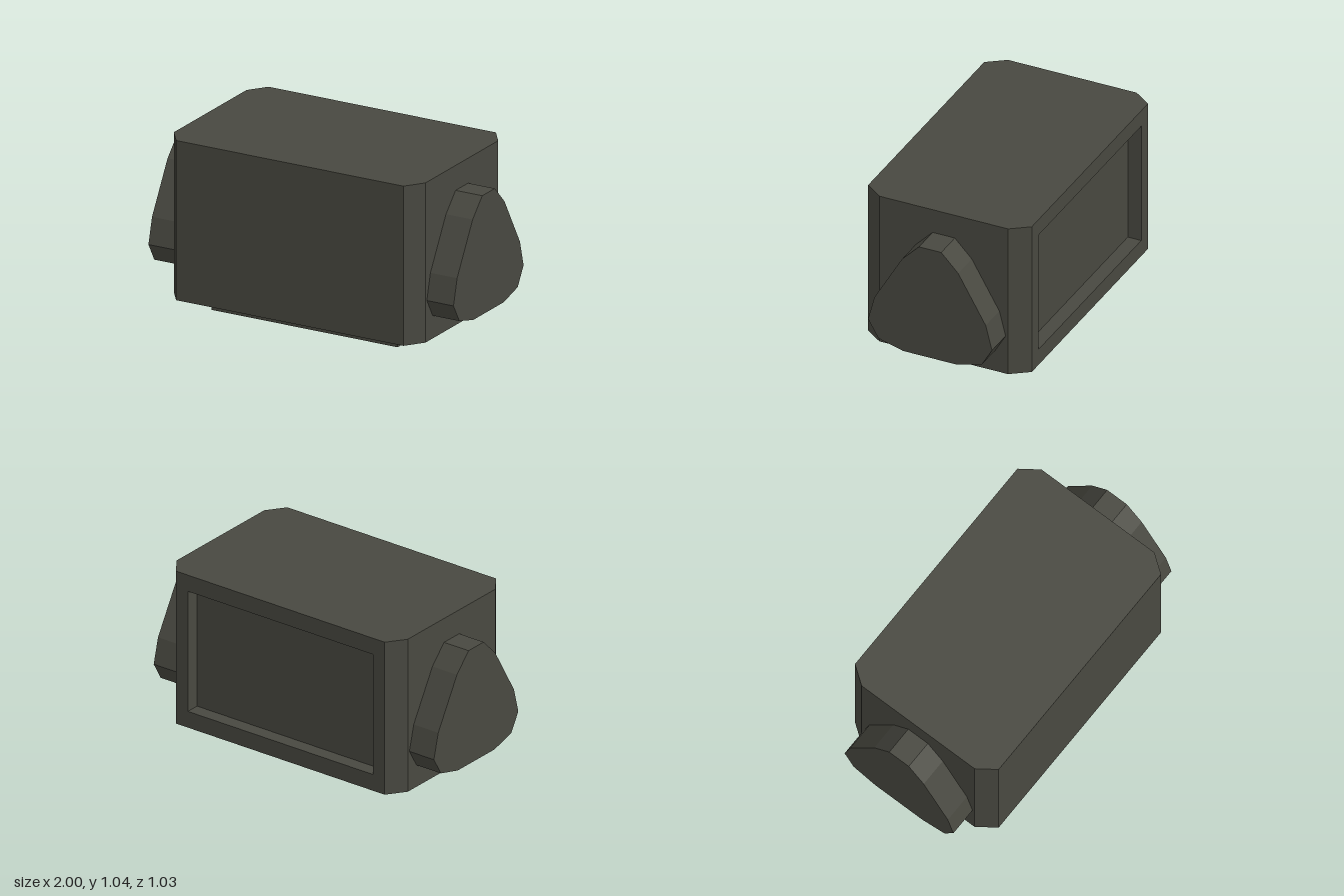
import * as THREE from 'three';

const extrude = (points, depth) => new THREE.ExtrudeGeometry(
  new THREE.Shape(points.map(([x, y]) => new THREE.Vector2(x, y))),
  { depth, bevelEnabled: false }
);

export function createModel() {
  const model = new THREE.Group();
  const darkGrey = new THREE.MeshStandardMaterial({ color: 0x484840 });
  darkGrey.name = 'darkGrey';

  const add = (name, geometry) => {
    const mesh = new THREE.Mesh(geometry, darkGrey);
    mesh.name = name;
    model.add(mesh);
    return mesh;
  };

  // Chamfered housing, stacked from three slabs; the middle one is notched at the back
  const hull = [
    [-0.745, 0.515], [-0.825, 0.405], [-0.825, -0.405], [-0.745, -0.515],
    [0.745, -0.515], [0.825, -0.405], [0.825, 0.405], [0.745, 0.515],
  ];
  const notch = [[0.66, 0.515], [0.66, 0.43], [-0.66, 0.43], [-0.66, 0.515]];
  const addSlab = (name, outline, y0, y1) =>
    add(name, extrude(outline, y1 - y0).rotateX(-Math.PI / 2).translate(0, y0, 0));
  addSlab('housingBottom', hull, 0.085, 0.187);
  addSlab('housingMiddleWithBackRecess', [...hull, ...notch], 0.187, 0.943);
  addSlab('housingTop', hull, 0.943, 1.045);

  // Low plinth under the housing
  add('base', new THREE.BoxGeometry(1.22, 0.095, 0.7)).position.y = 0.0475;

  // Rounded triangular bosses on both sides
  const half = [
    [0.17, 0.18], [0.325, 0.222], [0.39, 0.333],
    [0.35, 0.487], [0.177, 0.785], [0.07, 0.895],
  ];
  const boss = [...half, ...half.map(([z, y]) => [-z, y]).reverse()];
  for (const [name, x] of [['leftBoss', 0.82], ['rightBoss', -1]]) {
    add(name, extrude(boss, 0.18).rotateY(Math.PI / 2)).position.x = x;
  }
  return model;
}
